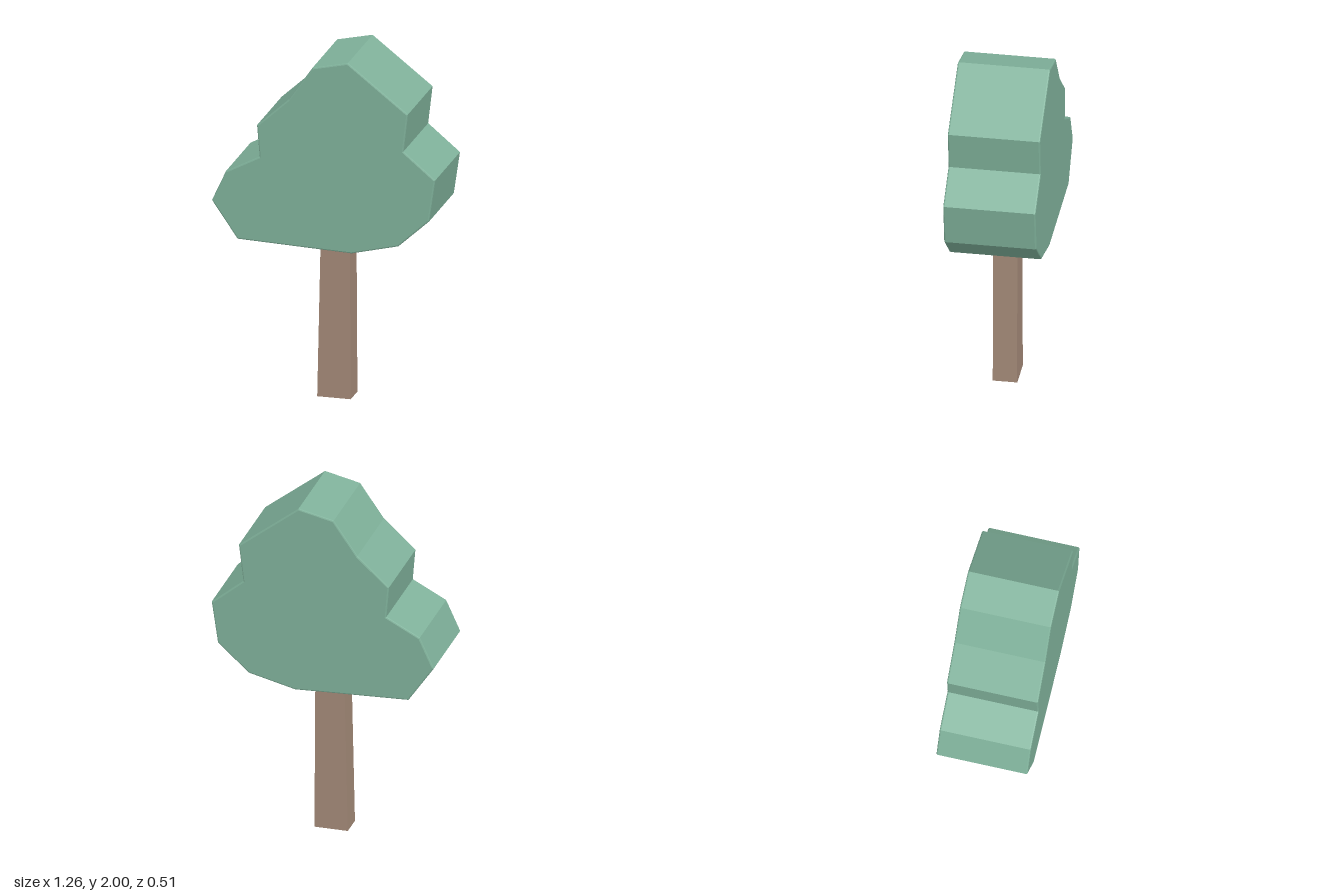
import * as THREE from 'three';

const leafGreen = new THREE.MeshStandardMaterial({ name: 'leaf green', color: 0x80b29b });
const barkBrown = new THREE.MeshStandardMaterial({ name: 'bark brown', color: 0xa48a78 });

// Extrude an outline along z, centred on z = 0, with an inset bevel.
function slab(name, outline, depth, bevel, material) {
  const shape = new THREE.Shape(outline.map(([x, y]) => new THREE.Vector2(x, y)));
  const geometry = new THREE.ExtrudeGeometry(shape, {
    depth: depth - 2 * bevel,
    bevelEnabled: bevel > 0,
    bevelThickness: bevel,
    bevelSize: bevel,
    bevelOffset: -bevel,
    bevelSegments: 2,
  });
  geometry.translate(0, 0, bevel - depth / 2);
  const mesh = new THREE.Mesh(geometry, material);
  mesh.name = name;
  return mesh;
}

export function createModel() {
  const tree = new THREE.Group();
  tree.name = 'tree';

  // Flat-fronted crown with a stepped, angular outline
  tree.add(slab('crown', [
    [-0.49, 0.93], [0.155, 0.905], [0.42, 0.97], [0.595, 1.13], [0.63, 1.37],
    [0.45, 1.52], [0.475, 1.735], [0.135, 2.0], [-0.065, 1.955], [-0.20, 1.76],
    [-0.38, 1.595], [-0.365, 1.415], [-0.555, 1.315], [-0.635, 1.14],
  ], 0.51, 0.008, leafGreen));

  // Tapered trunk, flaring to one side where it enters the crown
  tree.add(slab('trunk', [
    [-0.09, 0], [0.10, 0], [0.095, 0.86], [0.15, 0.93], [-0.07, 0.93],
  ], 0.135, 0, barkBrown));

  return tree;
}
